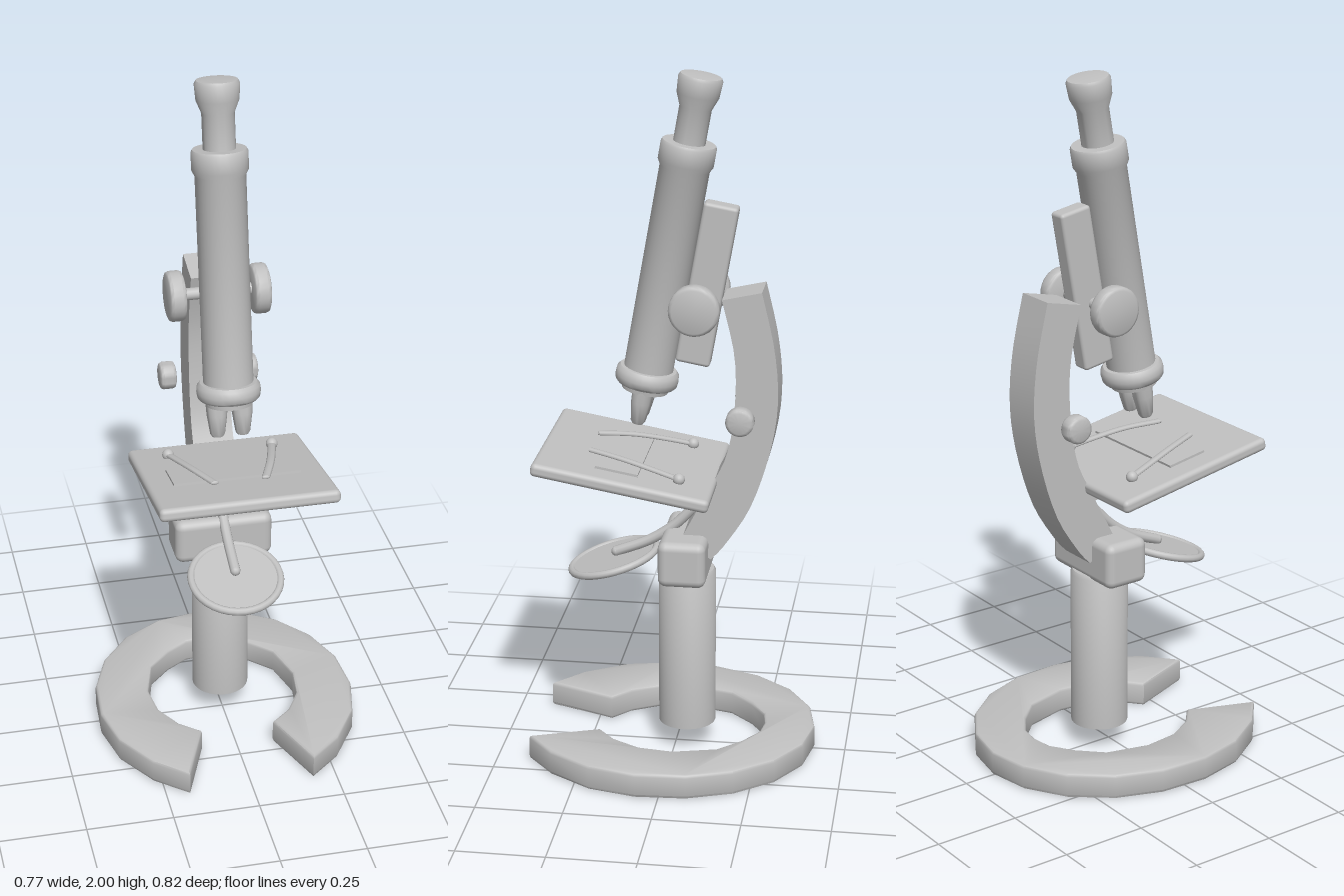
import * as THREE from 'three';
import { toCreasedNormals } from 'three/addons/utils/BufferGeometryUtils.js';
import { RoundedBoxGeometry } from 'three/addons/geometries/RoundedBoxGeometry.js';

const V2 = (p) => new THREE.Vector2(p[0], p[1]);
const V3 = (p) => new THREE.Vector3(...p);

export function createModel() {
  const model = new THREE.Group();
  model.name = 'microscope';
  const grey = new THREE.MeshStandardMaterial({ color: 0xc0c0c0 });
  grey.name = 'grey metal';

  const add = (parent, name, geo, x = 0, y = 0, z = 0) => {
    const mesh = new THREE.Mesh(geo, grey);
    mesh.name = name;
    mesh.position.set(x, y, z);
    parent.add(mesh);
    return mesh;
  };
  const group = (name, y, z, tilt) => {
    const g = new THREE.Group();
    g.name = name;
    g.position.set(0, y, z);
    g.rotation.x = tilt;
    model.add(g);
    return g;
  };
  // Turned part: profile of [radius, height] with crisp corners
  const turned = (profile, sides = 32) =>
    toCreasedNormals(new THREE.LatheGeometry(profile.map(V2), sides), 0.8);
  const tilt = -THREE.MathUtils.degToRad(10);

  // Horseshoe base, half outline in [x, z] mirrored
  const outer = [[0, -0.41], [0.125, -0.387], [0.24, -0.316], [0.326, -0.208], [0.374, -0.078],
    [0.383, 0.067], [0.352, 0.203], [0.275, 0.326], [0.182, 0.406]];
  const inner = [[0.107, 0.21], [0.165, 0.16], [0.21, 0.08], [0.222, -0.02], [0.19, -0.143],
    [0.125, -0.21], [0.06, -0.253], [0, -0.262]];
  const mirror = (pts) => pts.map(([x, z]) => [-x, z]).reverse();
  const outline = [...outer, ...inner, ...mirror(inner).slice(1), ...mirror(outer).slice(0, -1)];
  const baseGeo = new THREE.ExtrudeGeometry(new THREE.Shape(outline.map(([x, z]) => V2([x, -z]))), {
    depth: 0.055, bevelThickness: 0.01, bevelSize: 0.008, bevelOffset: -0.008, bevelSegments: 2,
  });
  baseGeo.rotateX(-Math.PI / 2);
  add(model, 'horseshoeBase', toCreasedNormals(baseGeo, 0.8), 0, 0.01, 0);

  // Column and joint block
  add(model, 'column', turned([[0, 0.075], [0.083, 0.075], [0.083, 0.545], [0.077, 0.555], [0, 0.555]]), 0, 0, -0.033);
  add(model, 'jointBlock', new RoundedBoxGeometry(0.286, 0.135, 0.137, 3, 0.024), 0, 0.609, -0.032);

  // Curved arm, side outline in [z, y]
  const armOuter = [[-0.246, 1.4], [-0.283, 1.235], [-0.294, 1.08], [-0.272, 0.93], [-0.22, 0.77], [-0.15, 0.655], [-0.108, 0.605]];
  const armInner = [[-0.02, 0.66], [-0.056, 0.73], [-0.103, 0.82], [-0.15, 0.92], [-0.172, 1.05], [-0.172, 1.21], [-0.135, 1.375]];
  const armShape = new THREE.Shape();
  armShape.moveTo(...armOuter[0]);
  armShape.splineThru(armOuter.slice(1).map(V2));
  armShape.lineTo(...armInner[0]);
  armShape.splineThru(armInner.slice(1).map(V2));
  const armGeo = new THREE.ExtrudeGeometry(armShape, { depth: 0.12, bevelEnabled: false, curveSegments: 3 });
  armGeo.translate(0, 0, -0.06).rotateY(-Math.PI / 2);
  add(model, 'curvedArm', toCreasedNormals(armGeo, 0.5));

  // Tilted optical tube; its origin is the lower end of the tube
  const optics = group('opticalTube', 1.155, 0.078, tilt);
  add(optics, 'bodyTube', turned([[0, 0], [0.07, 0], [0.07, 0.585], [0.078, 0.6], [0.078, 0.65], [0.074, 0.657], [0, 0.657]]));
  add(optics, 'eyepiece', turned([[0, 0.65], [0.045, 0.65], [0.045, 0.755], [0.059, 0.79], [0.062, 0.835], [0.057, 0.844], [0, 0.849]]));
  add(optics, 'nosepiece', turned([[0, -0.066], [0.066, -0.066], [0.068, -0.05], [0.082, -0.049], [0.088, -0.042],
    [0.09, -0.027], [0.088, -0.01], [0.08, -0.001], [0, 0.002]]));
  for (const x of [-0.036, 0.036]) {
    add(optics, 'objective', turned([[0, -0.158], [0.016, -0.158], [0.021, -0.15], [0.029, -0.095], [0.031, -0.06], [0, -0.06]], 20), x);
  }
  add(optics, 'rackSlide', new RoundedBoxGeometry(0.056, 0.465, 0.098, 3, 0.01), 0, 0.274, -0.12);

  // Pairs of focus knobs
  const knobs = (name, r, y, z) => {
    const e = 0.01;
    for (const s of [-1, 1]) {
      const geo = turned([[0, -0.023], [r - e, -0.023], [r - e * 0.3, -0.02], [r, -0.013],
        [r, 0.013], [r - e * 0.3, 0.02], [r - e, 0.023], [0, 0.023]], 28);
      add(model, name, geo.rotateZ(Math.PI / 2), s * 0.12, y, z);
    }
  };
  knobs('coarseFocusKnob', 0.071, 1.36, -0.066);
  knobs('fineFocusKnob', 0.04, 1.045, -0.195);
  add(model, 'coarseFocusAxle', new THREE.CylinderGeometry(0.017, 0.017, 0.24, 16).rotateZ(Math.PI / 2), 0, 1.36, -0.07);

  // Tilted stage with bracket, slide and clips
  const stage = group('stage', 0.877, 0.126, tilt);
  add(stage, 'stagePlate', new RoundedBoxGeometry(0.506, 0.038, 0.506, 3, 0.014));
  add(stage, 'stageBracket', new THREE.BoxGeometry(0.116, 0.03, 0.215), 0, -0.033, -0.134);
  add(stage, 'specimenSlide', new THREE.BoxGeometry(0.362, 0.008, 0.122), 0, 0.022, 0.022);
  for (const s of [-1, 1]) {
    const path = new THREE.CatmullRomCurve3([[0.151, 0.028, -0.15], [0.136, 0.032, -0.085],
      [0.109, 0.035, 0.015], [0.073, 0.029, 0.115]].map(([x, y, z]) => V3([s * x, y * 2, z])));
    const clip = new THREE.TubeGeometry(path, 14, 0.012, 8).scale(1, 0.5, 1);
    add(stage, 'stageClip', clip);
    // Rounded ends close the clip
    add(stage, 'clipTip', new THREE.SphereGeometry(0.012, 10, 6).scale(1, 0.5, 0.3), s * 0.073, 0.029, 0.115);
    add(stage, 'clipBall', new THREE.SphereGeometry(0.017, 16, 12), s * 0.152, 0.028, -0.152);
  }

  // Mirror with raised rim, and its curved support
  const mirrorGroup = group('mirror', 0.572, 0.181, THREE.MathUtils.degToRad(16));
  add(mirrorGroup, 'mirrorDisc', new THREE.CylinderGeometry(0.13, 0.13, 0.012, 36));
  add(mirrorGroup, 'mirrorRim', new THREE.TorusGeometry(0.128, 0.011, 10, 36).rotateX(Math.PI / 2));
  const support = new THREE.CatmullRomCurve3([[0, 0.592, 0.175], [0, 0.633, 0.077], [0, 0.68, 0.008], [0, 0.745, -0.056]].map(V3));
  add(model, 'mirrorSupport', new THREE.TubeGeometry(support, 16, 0.015, 10));
  for (const t of [0, 1]) {
    const p = support.getPoint(t);
    add(model, 'supportEnd', new THREE.SphereGeometry(0.015, 10, 8), p.x, p.y, p.z);
  }

  return model;
}
